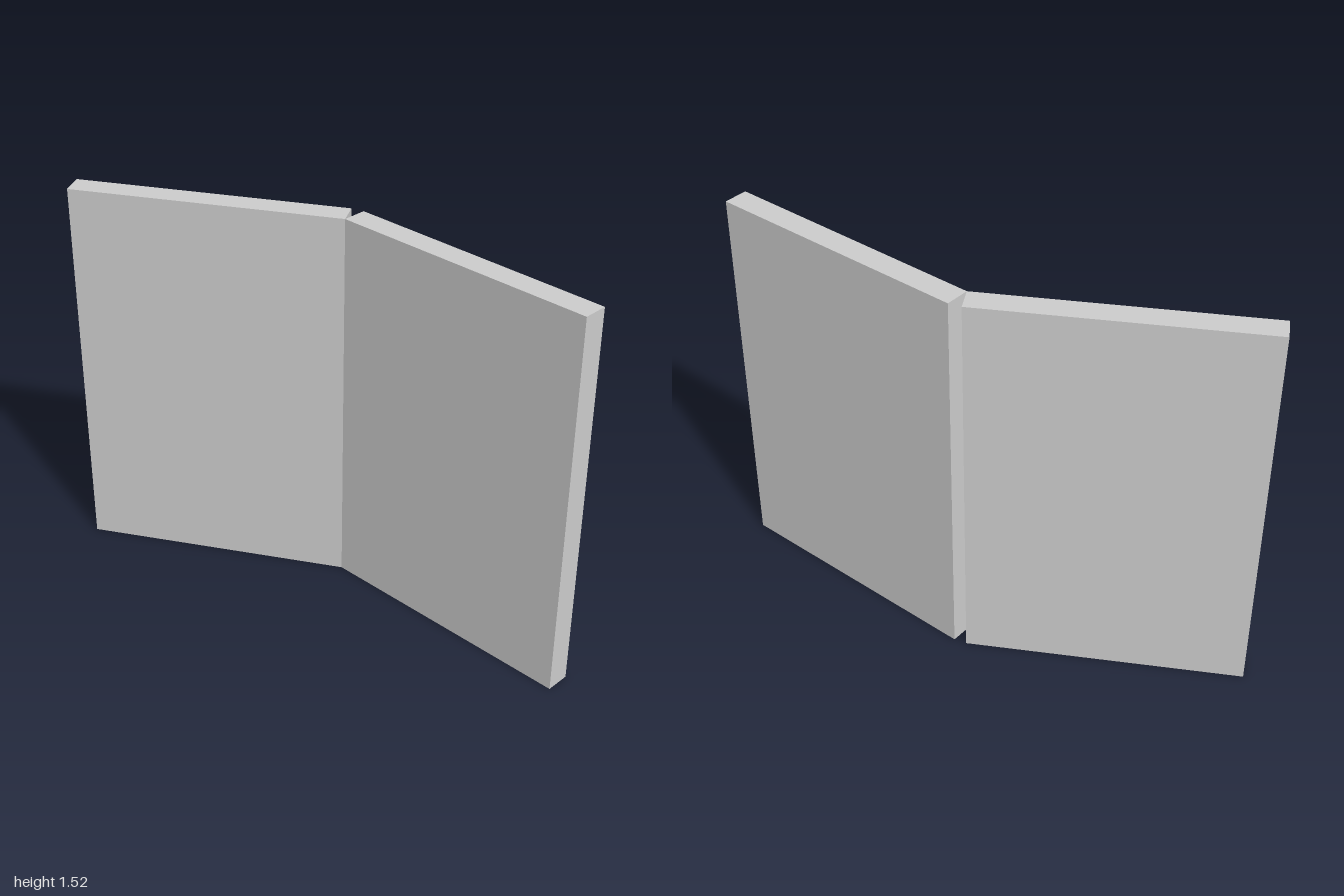
import * as THREE from 'three';

const LENGTH = 1.046, HEIGHT = 1.52, THICK = 0.095;
const HINGE = new THREE.Vector3(0.046, 0, -0.214);

export function createModel() {
  const group = new THREE.Group();
  group.name = 'foldingScreen';
  const material = new THREE.MeshStandardMaterial({ color: 0xcccccc, flatShading: true });

  // Flat panel whose front corner edge sits on the fold line
  const addPanel = (name, side, angle) => {
    const geometry = new THREE.BoxGeometry(LENGTH, HEIGHT, THICK);
    geometry.translate(side * LENGTH / 2, HEIGHT / 2, -THICK / 2);
    const panel = new THREE.Mesh(geometry, material);
    panel.name = name;
    panel.position.copy(HINGE);
    panel.rotation.y = angle;
    group.add(panel);
  };

  addPanel('rightPanel', -1, 0);
  // Left panel swings forward by 30 degrees
  addPanel('leftPanel', 1, -Math.PI / 6);

  return group;
}
